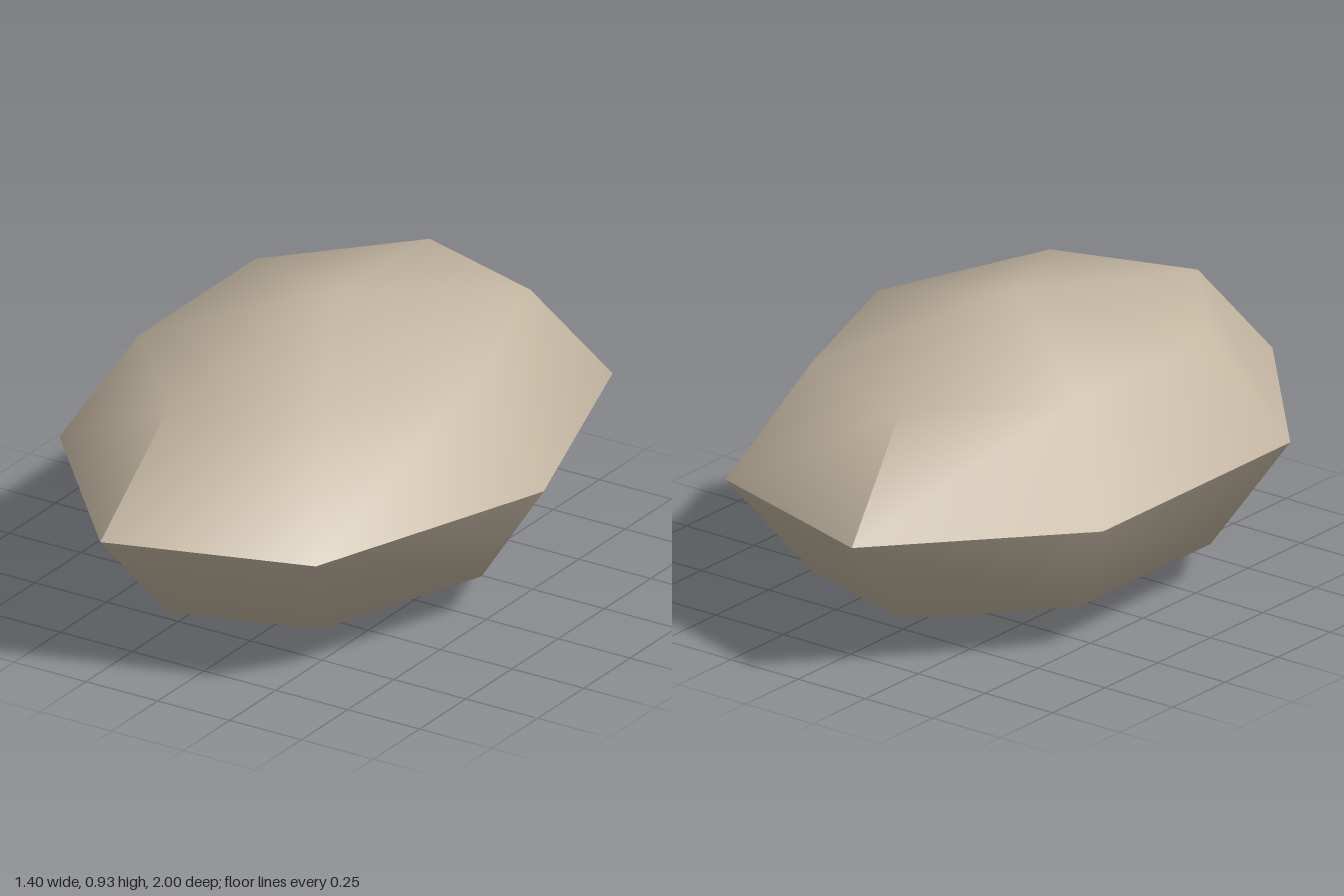
import * as THREE from 'three';

const SIDES = 7, RX = 0.736, RZ = 1.026, CENTRE_X = -0.036, HALF_HEIGHT = 0.4625;

// One half of the faceted pebble: equator, one ring and a pole.
// Equator corners 2 and 5 (the pointed ends) are doubled, so a crease starts
// there and fades out into the smooth ring above.
function domeGeometry(up) {
  const positions = [], indices = [];
  const point = (k, latitude) => {
    const a = (k / SIDES) * Math.PI * 2, r = Math.cos(latitude);
    positions.push(
      CENTRE_X + RX * r * Math.cos(a),
      HALF_HEIGHT * (1 + up * Math.sin(latitude)),
      RZ * r * Math.sin(a)
    );
  };
  const equator = [2, 3, 4, 5, 5, 6, 7, 8, 9];
  equator.forEach((k) => point(k, 0));
  for (let k = 0; k < SIDES; k++) point(k, Math.PI / 4);
  point(0, Math.PI / 2);

  const ring = (k) => equator.length + (k % SIDES);
  const pole = equator.length + SIDES;
  const face = (a, b, c) => (up > 0 ? indices.push(a, b, c) : indices.push(a, c, b));
  for (let i = 0; i + 1 < equator.length; i++) {
    const k = equator[i];
    if (equator[i + 1] === k) continue;
    face(i, ring(k), i + 1);
    face(i + 1, ring(k), ring(k + 1));
    face(ring(k), pole, ring(k + 1));
  }
  const geometry = new THREE.BufferGeometry();
  geometry.setAttribute('position', new THREE.Float32BufferAttribute(positions, 3));
  geometry.setIndex(indices);
  geometry.computeVertexNormals();
  return geometry;
}

export function createModel() {
  const group = new THREE.Group();
  group.name = 'pebble';
  const stone = new THREE.MeshStandardMaterial({ color: 0xc2b5a0 });
  stone.name = 'warm stone';
  // Upper and lower halves meet in a sharp edge
  for (const [name, up] of [['upperHalf', 1], ['lowerHalf', -1]]) {
    const mesh = new THREE.Mesh(domeGeometry(up), stone);
    mesh.name = name;
    group.add(mesh);
  }
  return group;
}
